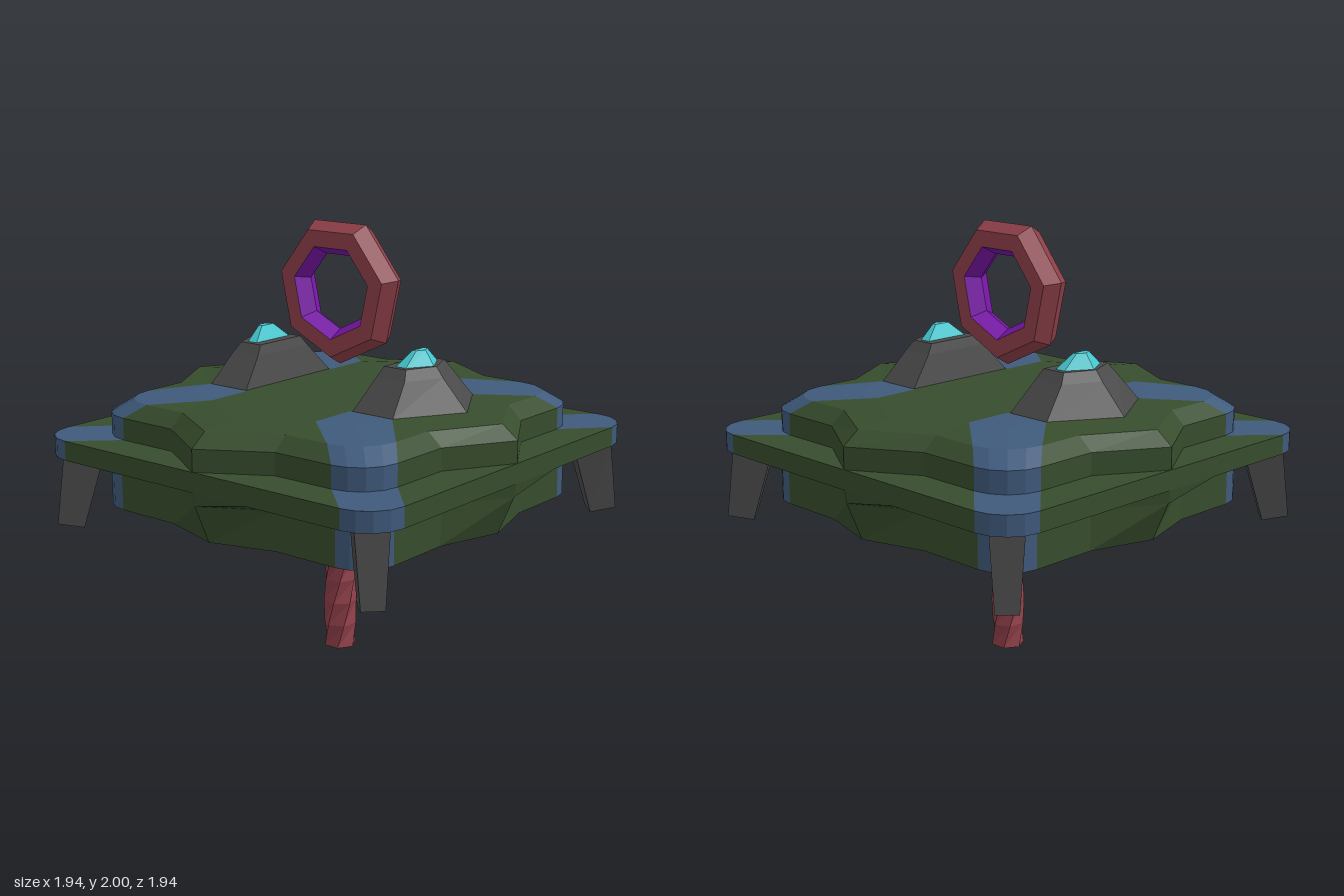
import * as THREE from 'three';

const V = (x, y, z) => new THREE.Vector3(x, y, z);
const mat = (color) => new THREE.MeshStandardMaterial({ color, flatShading: true });
const GREEN = mat(0x374d2d), BLUE = mat(0x3f5a7c), GREY = mat(0x4a4a4a), RED = mat(0x8f3f49);
const CYAN = mat(0x45c8d0), PURPLE = mat(0x7a16aa), BROWN = mat(0x8c5c38), PALE = mat(0xcccccc);
const GLOW = mat(0xe01800);
GLOW.side = THREE.DoubleSide;

function mesh(name, geometry, material) {
  const m = new THREE.Mesh(geometry, material);
  m.name = name;
  return m;
}

function soup(points) {
  const g = new THREE.BufferGeometry().setFromPoints(points);
  g.computeVertexNormals();
  return g;
}

// Joins matching rings from bottom to top; target(i) picks the list for side i
function skin(rings, target) {
  for (let k = 0; k + 1 < rings.length; k++) {
    const lo = rings[k], hi = rings[k + 1], n = lo.length;
    for (let i = 0; i < n; i++) {
      const j = (i + 1) % n;
      target(i).push(lo[i], lo[j], hi[j], lo[i], hi[j], hi[i]);
    }
  }
}

// Fan over a path from one point
function fan(center, path, out, flip = false) {
  for (let i = 0; i + 1 < path.length; i++) {
    out.push(center, ...(flip ? [path[i + 1], path[i]] : [path[i], path[i + 1]]));
  }
}

// Closed solid from rings
function solid(rings) {
  const out = [], bottom = rings[0], top = rings[rings.length - 1];
  skin(rings, () => out);
  fan(bottom[0], bottom.slice(1), out, true);
  fan(top[0], top.slice(1), out);
  return soup(out);
}

// Square hull outline: pointed middle of each side, rounded corners
const ARC = 4, PER = ARC + 4;
function hullRing([y, tip, c, r]) {
  const pts = [];
  for (let q = 0; q < 4; q++) {
    const quarter = [V(0, y, tip), V(0.3, y, c)];
    for (let i = 0; i <= ARC; i++) {
      const a = (i / ARC) * Math.PI / 2;
      quarter.push(V(c - r + r * Math.sin(a), y, c - r + r * Math.cos(a)));
    }
    quarter.push(V(c, y, 0.3));
    quarter.forEach((p) => pts.push(p.applyAxisAngle(V(0, 1, 0), q * Math.PI / 2)));
  }
  return pts;
}

function buildHull() {
  const rings = [
    [0.73, 0.88, 0.79, 0.17], [0.91, 0.96, 0.79, 0.17],
    [0.97, 0.97, 0.97, 0.18], [1.06, 0.97, 0.97, 0.18],
    [1.06, 0.97, 0.79, 0.19], [1.16, 0.97, 0.79, 0.19],
    [1.22, 0.89, 0.72, 0.2], [1.24, 0.72, 0.53, 0.23],
  ].map(hullRing);
  const green = [], blue = [];
  skin(rings, (i) => (i % PER >= 2 && i % PER < 2 + ARC ? blue : green));
  const bottom = rings[0], top = rings[rings.length - 1];
  fan(V(0, 0.73, 0), [...bottom, bottom[0]], green, true);
  // Deck: blue corners, green cross
  for (let q = 0; q < 4; q++) {
    const p = top.slice(q * PER, q * PER + PER);
    const s = V(0.3, 1.24, 0.3).applyAxisAngle(V(0, 1, 0), q * Math.PI / 2);
    fan(s, p.slice(1), blue);
    fan(V(0, 1.24, 0), [p[0], p[1], s, p[PER - 1], top[(q * PER + PER) % top.length]], green);
  }
  const g = new THREE.Group();
  g.name = 'hull';
  g.add(mesh('hullPanels', soup(green), GREEN), mesh('cornerBands', soup(blue), BLUE));
  return g;
}

// Five-sided turret outline: flat inside, pointed outside
const podRing = ([y, w, z0, z1, z2]) =>
  [V(0, y, z2), V(w, y, z1), V(w, y, z0), V(-w, y, z0), V(-w, y, z1)];

function buildTurret() {
  const g = new THREE.Group();
  g.name = 'turret';
  g.add(mesh('turretBase', solid([
    [1.235, 0.3, 0.31, 0.53, 0.71], [1.375, 0.175, 0.345, 0.5, 0.575], [1.42, 0.14, 0.36, 0.48, 0.54],
  ].map(podRing)), GREY));
  g.add(mesh('turretCrystal', solid([
    [1.415, 0.12, 0.405, 0.46, 0.53], [1.485, 0.04, 0.44, 0.46, 0.48],
  ].map(podRing)), CYAN));
  return g;
}

function buildLeg() {
  const quad = (w, zi, zo, yi, yo) => [V(-w, yo, zo), V(w, yo, zo), V(w, yi, zi), V(-w, yi, zi)];
  const g = new THREE.Group();
  g.name = 'leg';
  g.add(mesh('legShaft', solid([
    quad(0.05, 1.177, 1.297, 0.63, 0.65), quad(0.072, 1.077, 1.257, 0.97, 0.97),
  ]), GREY));
  g.add(mesh('legTip', solid([
    quad(0.038, 1.192, 1.282, 0.629, 0.644), quad(0.038, 1.192, 1.282, 0.64, 0.66),
  ]), PALE));
  return g;
}

// Seven-sided ring with a purple inner face
function buildRing() {
  const torus = new THREE.TorusGeometry(0.257, 0.081, 6, 7).toNonIndexed();
  torus.rotateZ(-Math.PI / 2).rotateY(Math.PI / 2).translate(0, 1.697, 0);
  const pos = torus.attributes.position, outer = [], inner = [];
  for (let i = 0; i < pos.count; i += 3) {
    const side = Math.floor(i / 42); // 7 quads of 6 corners per strip
    for (let k = 0; k < 3; k++) {
      (side === 2 || side === 3 ? inner : outer).push(new THREE.Vector3().fromBufferAttribute(pos, i + k));
    }
  }
  const g = new THREE.Group();
  g.name = 'topRing';
  g.add(mesh('ringOuter', soup(outer), RED), mesh('ringInner', soup(inner), PURPLE));
  return g;
}

// Hexagonal rod, each level turned a little
function buildTail() {
  const rings = [];
  for (let k = 0; k <= 4; k++) {
    const ring = [];
    for (let i = 0; i < 6; i++) {
      const a = i * Math.PI / 3 + k * 0.4;
      ring.push(V(0.077 * Math.sin(a), k * 0.11, 0.077 * Math.cos(a)));
    }
    rings.push(ring);
  }
  return mesh('tailRod', solid(rings), RED);
}

export function createModel() {
  const model = new THREE.Group();
  model.name = 'hoverCraft';
  model.add(buildHull(), buildRing(), buildTail());

  for (let i = 0; i < 2; i++) {
    const turret = buildTurret();
    turret.rotation.y = i * Math.PI;
    model.add(turret);
  }
  for (let i = 0; i < 4; i++) {
    const leg = buildLeg();
    leg.rotation.y = Math.PI / 4 + i * Math.PI / 2;
    model.add(leg);
  }

  // Belly ball in its glowing socket
  const ball = mesh('bellyBall', new THREE.IcosahedronGeometry(0.305, 2), BROWN);
  ball.position.y = 0.732;
  const socket = mesh('ballSocket', new THREE.CircleGeometry(0.325, 24), GLOW);
  socket.rotation.x = Math.PI / 2;
  socket.position.y = 0.727;
  model.add(ball, socket);
  return model;
}
